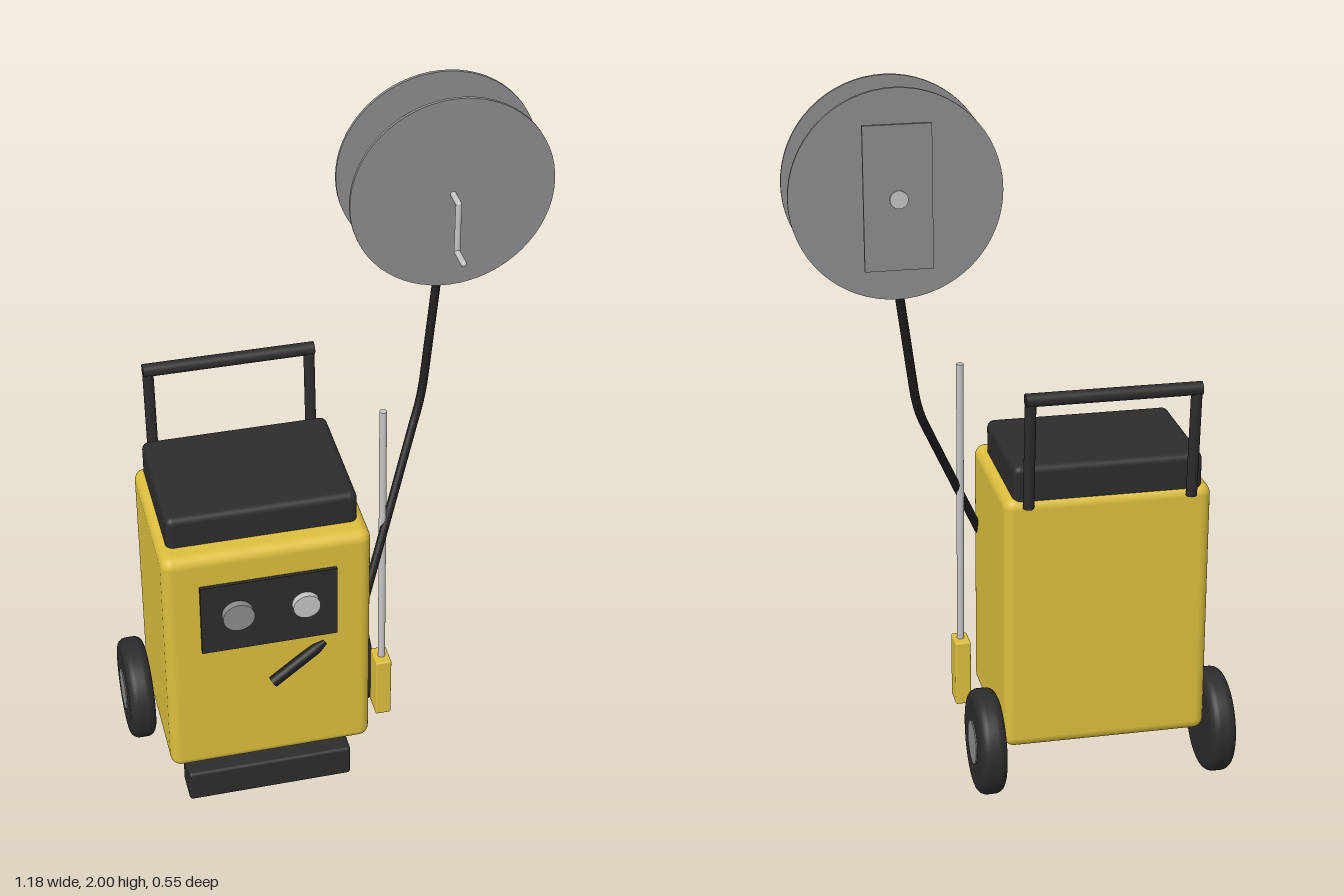
import * as THREE from 'three';
import { RoundedBoxGeometry } from 'three/addons/geometries/RoundedBoxGeometry.js';

const mat = (name, color) => {
  const m = new THREE.MeshStandardMaterial({ color });
  m.name = name;
  return m;
};

export function createModel() {
  const yellow = mat('yellow paint', 0xdcbe3e);
  const dark = mat('dark plastic', 0x2c2c2c);
  const black = mat('black rubber', 0x1c1c1c);
  const grey = mat('grey metal', 0x8c8c8c);
  const light = mat('light metal', 0xc4c4c4);

  const model = new THREE.Group();
  model.name = 'weldingCart';

  const add = (name, geometry, material) => {
    const mesh = new THREE.Mesh(geometry, material);
    mesh.name = name;
    model.add(mesh);
    return mesh;
  };
  // Box given by its min and max corners, optionally rounded
  const box = (name, a, b, material, r = 0) => {
    const s = b.map((v, i) => v - a[i]);
    const g = r ? new RoundedBoxGeometry(...s, 4, r) : new THREE.BoxGeometry(...s);
    add(name, g, material).position.set(...a.map((v, i) => (v + b[i]) / 2));
  };
  // Cylinder between two points
  const rod = (name, a, b, r, material, rEnd = r) => {
    const p = new THREE.Vector3(...a), q = new THREE.Vector3(...b);
    const d = q.clone().sub(p);
    const mesh = add(name, new THREE.CylinderGeometry(rEnd, r, d.length(), 32), material);
    mesh.position.copy(p).add(q).multiplyScalar(0.5);
    mesh.quaternion.setFromUnitVectors(new THREE.Vector3(0, 1, 0), d.normalize());
  };
  // Solid drum with rounded rims, axis along y
  const drum = (radius, width, round) => {
    const h = width / 2, pts = [new THREE.Vector2(0, -h)];
    for (const side of [-1, 1]) {
      for (let i = 0; i <= 6; i++) {
        const t = (side < 0 ? i - 6 : i) * Math.PI / 12;
        pts.push(new THREE.Vector2(radius - round + round * Math.cos(t), side * (h - round) + round * Math.sin(t)));
      }
    }
    pts.push(new THREE.Vector2(0, h));
    return new THREE.LatheGeometry(pts, 48);
  };

  // Cabinet, lid and front foot
  box('body', [-0.515, 0.155, -0.2], [0.05, 0.89, 0.24], yellow, 0.03);
  box('lid', [-0.49, 0.86, -0.19], [0.025, 0.98, 0.18], dark, 0.02);
  box('foot', [-0.467, 0.005, 0.125], [0, 0.103, 0.22], dark, 0.01);

  // Push handle
  for (const x of [-0.455, -0.012]) rod('handlePost', [x, 0.87, -0.205], [x, 1.18, -0.227], 0.015, dark);
  rod('handleBar', [-0.469, 1.18, -0.227], [0.002, 1.18, -0.227], 0.018, dark);

  // Control panel with knobs
  box('controlPanel', [-0.419, 0.572, 0.235], [-0.048, 0.796, 0.25], dark);
  rod('largeKnob', [-0.32, 0.695, 0.245], [-0.32, 0.695, 0.27], 0.043, grey);
  rod('smallKnob', [-0.135, 0.695, 0.245], [-0.135, 0.695, 0.268], 0.037, light);

  // Torch stub on the front
  rod('torchGrip', [-0.23, 0.44, 0.26], [-0.105, 0.522, 0.243], 0.016, black);
  rod('torchTip', [-0.105, 0.522, 0.243], [-0.08, 0.538, 0.24], 0.016, black, 0.008);

  // Wheels with hubs
  for (const side of [-1, 1]) {
    const x = -0.2325 + side * 0.322;
    const wheel = add('wheel', drum(0.146, 0.072, 0.025), dark);
    wheel.rotation.z = Math.PI / 2;
    wheel.position.set(x, 0.149, -0.128);
    rod('hub', [x, 0.149, -0.128], [x + side * 0.039, 0.149, -0.128], 0.061, grey);
  }

  // Side rod in its holder
  box('rodHolder', [0.089, 0.155, 0.085], [0.133, 0.347, 0.155], yellow, 0.005);
  rod('sideRod', [0.112, 0.3, 0.122], [0.112, 1.175, 0.098], 0.01, light);

  // Hose reel: drum, flanges, axle, back plate and crank
  const cx = 0.32, cy = 1.73;
  const spool = add('hoseSpool', drum(0.197, 0.138, 0.03), dark);
  spool.rotation.x = Math.PI / 2;
  spool.position.set(cx, cy, -0.104);
  for (const z of [-0.03, -0.178]) {
    const flange = add('reelFlange', new THREE.CylinderGeometry(0.27, 0.27, 0.009, 64), grey);
    flange.rotation.x = Math.PI / 2;
    flange.position.set(cx, cy, z);
  }
  rod('reelAxle', [cx, cy, -0.17], [cx, cy, -0.228], 0.023, light);
  box('reelPlate', [0.235, 1.548, -0.222], [0.408, 1.918, -0.212], grey);
  const crank = new THREE.CurvePath();
  const corners = [[cy, -0.03], [cy, 0.025], [1.59, 0.025], [1.59, 0.085]].map(([y, z]) => new THREE.Vector3(cx, y, z));
  for (let i = 0; i < 3; i++) {
    crank.add(new THREE.LineCurve3(corners[i], corners[i + 1]));
    rod('crank', corners[i].toArray(), corners[i + 1].toArray(), 0.008, light);
    const joint = add('crankJoint', new THREE.SphereGeometry(0.008, 12, 8), light);
    joint.position.copy(corners[i + 1]);
  }

  // Hose from the cabinet up to the reel
  const path = new THREE.CurvePath();
  const V = (x, y, z) => new THREE.Vector3(x, y, z);
  const a = V(0.228, 1.05, -0.012), b = V(0.262, 1.17, -0.044);
  path.add(new THREE.LineCurve3(V(0.043, 0.64, 0.2), a));
  path.add(new THREE.QuadraticBezierCurve3(a, V(0.253, 1.105, -0.035), b));
  path.add(new THREE.LineCurve3(b, V(0.32, 1.56, -0.107)));
  add('hose', new THREE.TubeGeometry(path, 60, 0.012, 12), black);

  return model;
}
